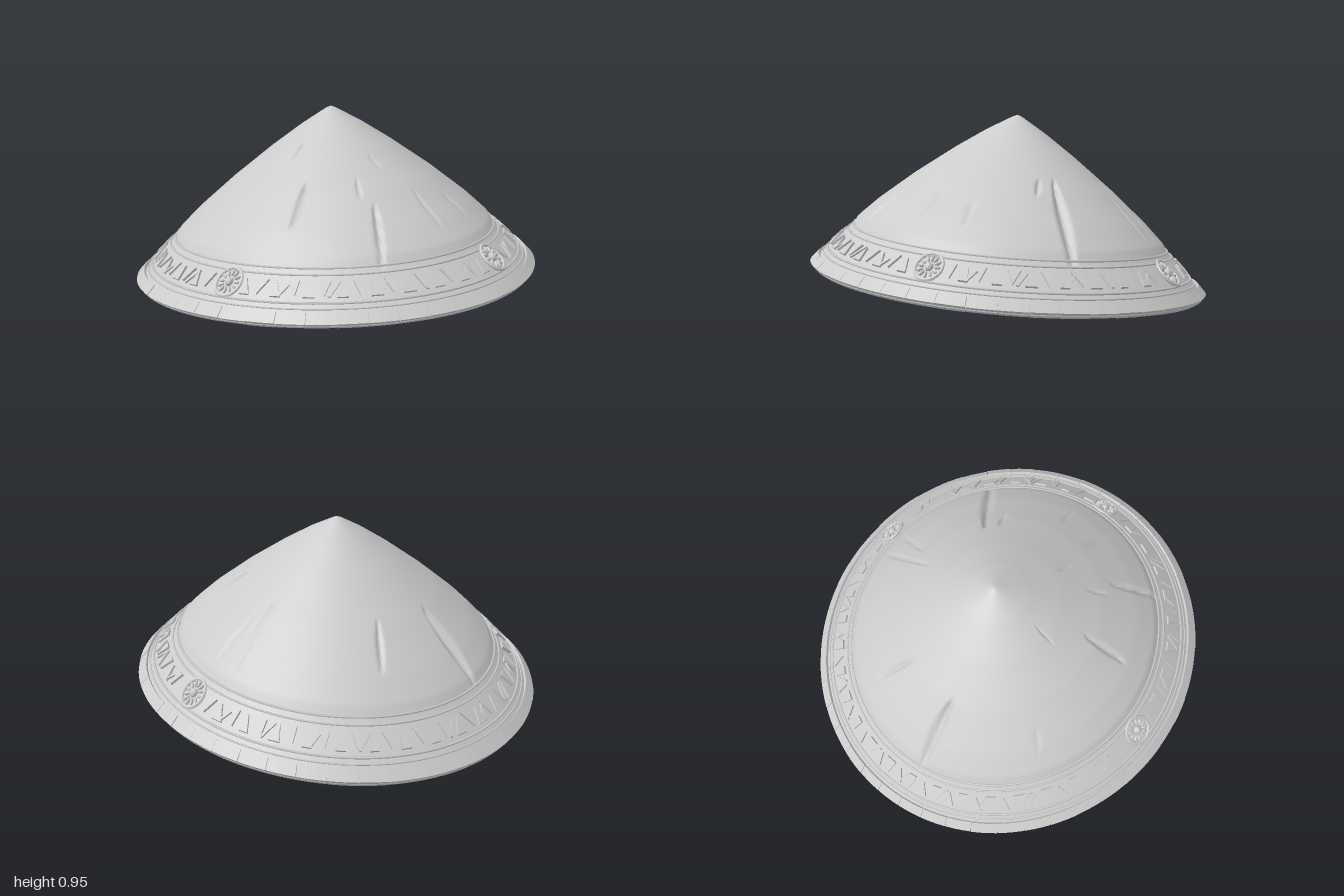
import * as THREE from 'three';
import { mergeGeometries } from 'three/addons/utils/BufferGeometryUtils.js';

const APEX = new THREE.Vector3(-0.04, 0.955, -0.03);
const TAU = Math.PI * 2;
let seed = 7;
const rand = () => (seed = (seed * 16807) % 2147483647) / 2147483647;

// Height of the domed profile above a straight cone: [t, extra height]
const BULGE = [[0, -0.01], [0.02, 0], [0.15, 0.03], [0.3, 0.052], [0.5, 0.068], [0.68, 0.068],
  [0.78, 0.055], [0.8, 0.036], [0.9, 0.022], [1, 0]];
function bulge(t) {
  let i = 1;
  while (i < BULGE.length - 1 && t > BULGE[i][0]) i++;
  const [a, b] = [BULGE[i - 1], BULGE[i]];
  return a[1] + (b[1] - a[1]) * (t - a[0]) / (b[0] - a[0]);
}

// Point on the tilted hat: angle, 0 at the tip to 1 at the rim, height off the surface
function surf(a, t, h = 0) {
  const s = Math.sin(a), c = Math.cos(a), q = Math.min(1, t * 4) * 0.6;
  const edge = new THREE.Vector3(s, 0.137 + 0.105 * s + 0.06 * c + 0.012 * Math.cos(2 * a), c * 0.968);
  const p = APEX.clone().lerp(edge, t);
  p.y += bulge(t) + 0.8 * h;
  p.x += s * q * h;
  p.z += c * q * h;
  return p;
}

// Bends a flat geometry onto the hat: x runs round it, y up the slope, z outward
function wrap(geo, a, t, h = 0) {
  const g = geo.index ? geo.toNonIndexed() : geo;
  const pos = g.attributes.position;
  for (let i = 0; i < pos.count; i++) {
    const p = surf(a + pos.getX(i) / 0.88, t - pos.getY(i) / 1.25, h + pos.getZ(i));
    pos.setXYZ(i, p.x, p.y, p.z);
  }
  g.deleteAttribute('uv');
  g.computeVertexNormals();
  return g;
}

// Weathered gouges and scratches: x, z, x, z, half width, depth
const GOUGES = [
  [-0.78, 0.08, -0.52, 0.06, 0.04, 0.025], [0.1, 0.41, 0.15, 0.6, 0.02, 0.02],
  [0.29, -0.34, 0.6, -0.54, 0.035, 0.028], [0.33, -0.28, 0.41, -0.3, 0.018, 0.015],
  [0.42, 0.34, 0.57, 0.53, 0.02, 0.022], [-0.58, -0.33, -0.46, -0.22, 0.02, 0.015],
  [-0.04, -0.72, -0.04, -0.45, 0.01, 0.01], [0.1, -0.78, 0.02, -0.5, 0.01, 0.01],
  [0.29, 0.28, 0.36, 0.36, 0.012, 0.012], [-0.04, 0.22, -0.04, 0.3, 0.01, 0.01],
  [0.27, 0.13, 0.34, 0.14, 0.01, 0.01], [-0.37, 0.45, -0.43, 0.53, 0.012, 0.01],
  [0.55, -0.05, 0.68, -0.06, 0.012, 0.012], [0.5, 0.12, 0.68, 0.17, 0.012, 0.012],
];
function gougeDepth(p) {
  let d = 0;
  for (const [x0, z0, x1, z1, w, depth] of GOUGES) {
    const dx = x1 - x0, dz = z1 - z0;
    const k = THREE.MathUtils.clamp(((p.x - x0) * dx + (p.z - z0) * dz) / (dx * dx + dz * dz), 0, 1);
    const dist = Math.hypot(p.x - x0 - k * dx, p.z - z0 - k * dz);
    const width = w * (0.3 + 0.7 * Math.sin(Math.PI * k));
    if (dist < width) d = Math.max(d, depth * (1 - dist / width));
  }
  return d;
}

// Closed shell: outer skin down to the rim, inner skin back up to the tip
function shellGeometry() {
  const cols = 320, outer = 64, inner = 22, pos = [], idx = [];
  const rows = [];
  for (let i = 0; i <= outer; i++) rows.push([Math.max(i / outer, 0.002), 0, true]);
  for (let i = inner; i >= 0; i--) rows.push([Math.max(i / inner, 0.002), i === inner ? -0.012 : -0.028, false]);
  rows.forEach(([t, h, out]) => {
    for (let j = 0; j < cols; j++) {
      const a = j / cols * TAU;
      let p = surf(a, t, h);
      if (out) p = surf(a, t, -gougeDepth(p));
      pos.push(p.x, p.y, p.z);
    }
  });
  for (let i = 0; i < rows.length - 1; i++) {
    for (let j = 0; j < cols; j++) {
      const a = i * cols + j, b = i * cols + (j + 1) % cols;
      idx.push(a, a + cols, b, b, a + cols, b + cols);
    }
  }
  const g = new THREE.BufferGeometry();
  g.setAttribute('position', new THREE.Float32BufferAttribute(pos, 3));
  g.setIndex(idx);
  g.computeVertexNormals();
  return g;
}

// Thin ring that follows the hat at one level
function hoop(t, h, r) {
  const pts = Array.from({ length: 64 }, (_, i) => surf(i / 64 * TAU, t, h));
  return new THREE.TubeGeometry(new THREE.CatmullRomCurve3(pts, true), 128, r, 5, true);
}

function polygon(points, depth) {
  const shape = new THREE.Shape(points.map(([x, y]) => new THREE.Vector2(x, y)));
  return new THREE.ExtrudeGeometry(shape, { depth, bevelEnabled: false });
}

export function createModel() {
  const model = new THREE.Group();
  const mat = new THREE.MeshStandardMaterial({ color: 0xcccccc, side: THREE.DoubleSide });
  const add = (name, geos) => {
    const mesh = new THREE.Mesh(Array.isArray(geos) ? mergeGeometries(geos) : geos, mat);
    mesh.name = name;
    model.add(mesh);
  };

  add('shell', shellGeometry());

  // Border lines above and below the frieze
  add('borderHoops', [[0.8, 0.006], [0.825, 0.005], [0.925, 0.006], [0.945, 0.004]]
    .map(([t, r]) => hoop(t, 0.002, r)));

  // Overlapping binding pieces round the rim
  const binding = [];
  for (let i = 0, n = 46; i < n; i++) {
    const box = new THREE.BoxGeometry(TAU / n * 0.88 * 0.985, 0.05, 0.028 + 0.008 * rand(), 3, 1, 1);
    binding.push(wrap(box, (i + 0.5) / n * TAU, 0.98, -0.003));
  }
  add('rimBinding', binding);

  // Frieze of carved triangles and slanted bars, leaving gaps for the rosettes
  const rosettes = [-0.03, Math.PI / 2 - 0.03, Math.PI - 0.14];
  const frieze = [];
  for (let i = 0, n = 76; i < n; i++) {
    const a = i / n * TAU;
    if (rosettes.some(r => Math.abs(Math.atan2(Math.sin(a - r), Math.cos(a - r))) < 0.11)) continue;
    const f = i % 2 ? 1 : -1, k = 0.02 + 0.01 * rand(), lean = (rand() - 0.5) * 0.03;
    frieze.push(wrap(polygon(f > 0
      ? [[-k, -0.04], [k, -0.04], [lean, 0.03]]
      : [[-k, 0.035], [lean, -0.035], [k, 0.035]], 0.011), a, 0.876));
    if (i % 3 === 0) {
      frieze.push(wrap(polygon([[-0.03, -0.035], [-0.02, -0.04], [0.03, 0.03], [0.02, 0.035]], 0.009),
        a + TAU / n / 2, 0.876));
    }
  }
  add('frieze', frieze);

  // Rosettes: ring, boss and petals
  const flowers = [];
  for (const a of rosettes) {
    flowers.push(wrap(new THREE.TorusGeometry(0.065, 0.008, 6, 28), a, 0.87, 0.006));
    flowers.push(wrap(new THREE.SphereGeometry(0.02, 10, 8), a, 0.87, 0.004));
    for (let k = 0; k < 12; k++) {
      const petal = new THREE.SphereGeometry(1, 8, 6).scale(0.017, 0.007, 0.01);
      petal.translate(0.041, 0, 0).rotateZ(k / 12 * TAU);
      flowers.push(wrap(petal, a, 0.87, 0.006));
    }
  }
  add('rosettes', flowers);

  // Inner framework: radial battens of uneven length, and hoops
  const battens = [];
  for (let i = 0, n = 56; i < n; i++) {
    const a = (i + 0.4 * rand()) / n * TAU, start = 0.35 + 0.35 * rand();
    const pts = Array.from({ length: 8 }, (_, k) => surf(a, start + (0.97 - start) * k / 7, -0.029));
    battens.push(new THREE.TubeGeometry(new THREE.CatmullRomCurve3(pts), 14, 0.005, 4, false));
  }
  add('innerBattens', battens);
  add('innerHoops', [0.8, 0.84, 0.9, 0.95].map(t => hoop(t, -0.031, 0.006)));

  // Strap loops with beads, and a loose slat inside the brim
  const loops = [];
  for (const a of [-0.1, Math.PI / 2]) {
    loops.push(wrap(new THREE.TorusGeometry(0.07, 0.008, 6, 28).scale(0.85, 1.1, 1), a, 0.84, -0.045));
    loops.push(wrap(new THREE.SphereGeometry(0.026, 12, 8), a, 0.79, -0.05));
  }
  loops.push(wrap(new THREE.SphereGeometry(1, 14, 10).scale(0.045, 0.07, 0.018), -Math.PI / 2 - 0.55, 0.87, -0.042));
  add('strapLoops', loops);
  add('innerSlat', wrap(new THREE.BoxGeometry(0.28, 0.03, 0.02, 10, 1, 1), -Math.PI / 2 - 0.02, 0.86, -0.045));

  // Rest the lowest edge on the ground
  const low = new THREE.Box3().setFromObject(model).min.y;
  model.children.forEach(m => m.geometry.translate(0, -low, 0));
  model.name = 'conicalHat';
  return model;
}
